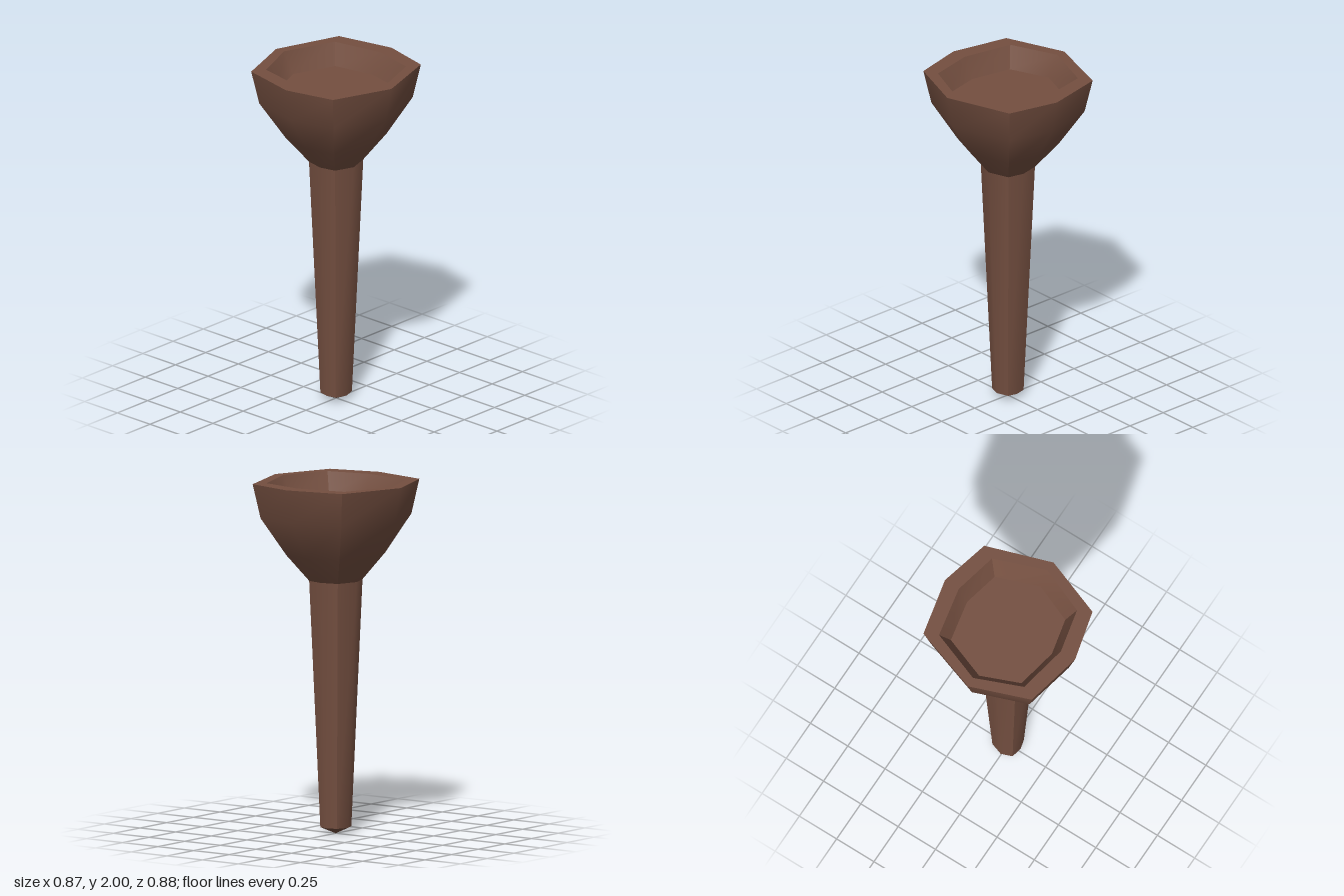
import * as THREE from 'three';
import { toCreasedNormals } from 'three/addons/utils/BufferGeometryUtils.js';

// Uneven octagonal cross-section [x, z] shared by the whole piece
const SECTION = [
  [0.436, 0.02], [0.363, 0.312], [-0.019, 0.44], [-0.363, 0.312],
  [-0.436, 0.02], [-0.363, -0.315], [-0.019, -0.443], [0.363, -0.315],
];

// Joins scaled copies of the section; each ring is [y, scaleX, scaleZ]
function loft(rings) {
  const positions = [];
  const n = SECTION.length;
  const point = ([y, sx, sz = sx], j) => [SECTION[j % n][0] * sx, y, SECTION[j % n][1] * sz];
  for (let i = 0; i < rings.length - 1; i++) {
    const low = rings[i], high = rings[i + 1];
    for (let j = 0; j < n; j++) {
      const a = point(low, j), b = point(low, j + 1);
      const c = point(high, j), d = point(high, j + 1);
      if (low[1] > 0) positions.push(...a, ...c, ...b);
      if (high[1] > 0) positions.push(...b, ...c, ...d);
    }
  }
  const geometry = new THREE.BufferGeometry();
  geometry.setAttribute('position', new THREE.Float32BufferAttribute(positions, 3));
  return toCreasedNormals(geometry, 0.75);
}

export function createModel() {
  const group = new THREE.Group();
  group.name = 'handle';
  const brown = new THREE.MeshStandardMaterial({ color: 0x744f40 });
  brown.name = 'brown';

  const add = (name, rings) => {
    const mesh = new THREE.Mesh(loft(rings), brown);
    mesh.name = name;
    group.add(mesh);
  };

  // Tapering shaft with a shallow pointed tip
  add('shaft', [[0, 0], [0.038, 0.186], [1.44, 0.32]]);

  // Flared head: outer wall, flat rim, recess wall and recess floor
  add('head', [
    [1.44, 0.32], [1.59, 0.595], [1.805, 0.905], [2, 1],
    [2, 0.785, 0.87], [1.88, 0.652, 0.72], [1.88, 0],
  ]);

  return group;
}
